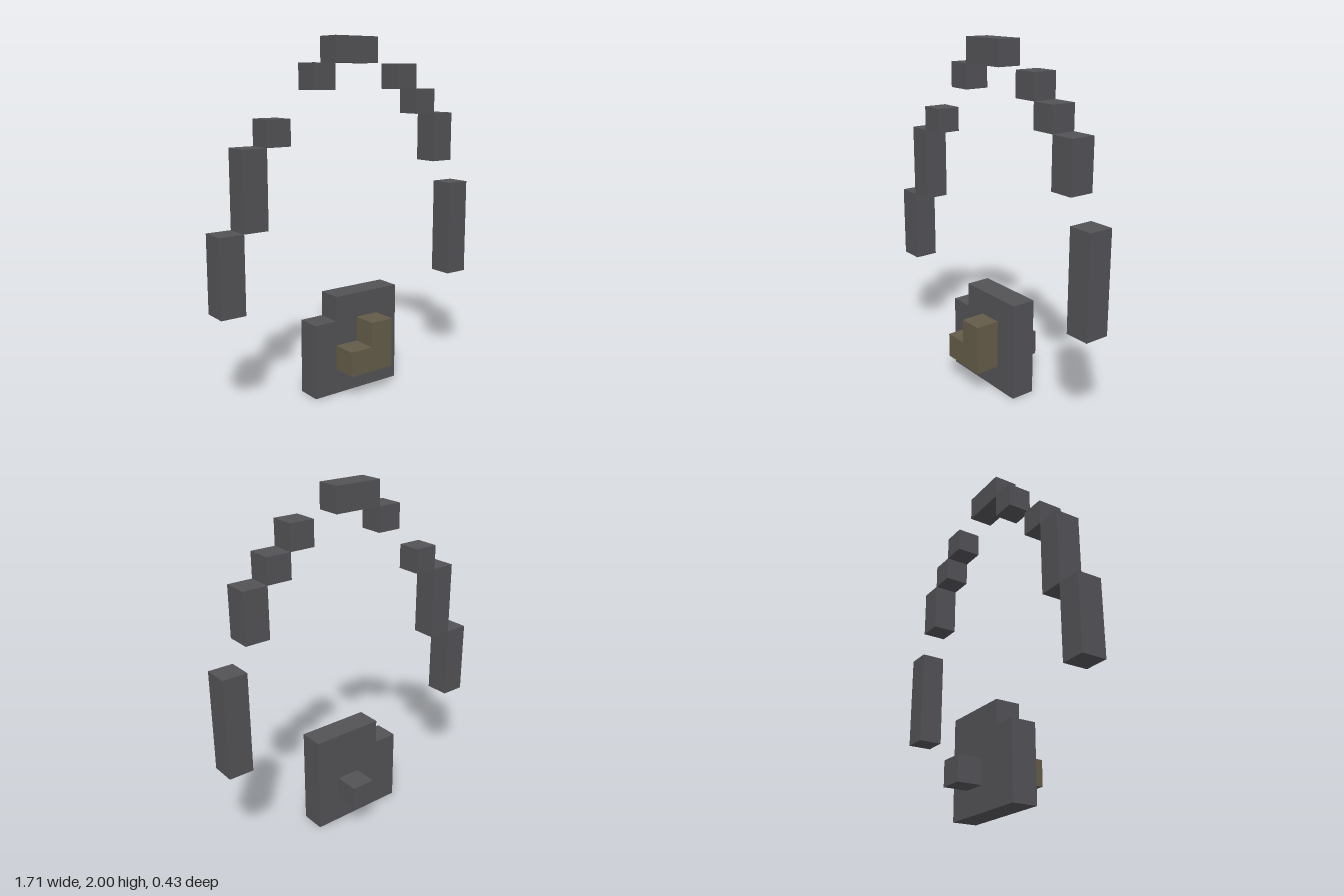
import * as THREE from 'three';

const U = 1 / 7; // one block

export function createModel() {
  const model = new THREE.Group();
  const charcoal = new THREE.MeshStandardMaterial({ name: 'charcoal', color: 0x525155 });
  const bronze = new THREE.MeshStandardMaterial({ name: 'bronze', color: 0x635b48 });

  // Box given by its left, bottom, right and top edges in blocks
  function block(name, [x0, y0, x1, y1], z = 0, parent = model) {
    const mesh = new THREE.Mesh(new THREE.BoxGeometry((x1 - x0) * U, (y1 - y0) * U, U), charcoal);
    mesh.position.set((x0 + x1) / 2 * U, (y0 + y1) / 2 * U, z * U);
    mesh.name = name;
    parent.add(mesh);
  }

  // Stepped outline extruded one block deep
  function slab(name, outline, z, material) {
    const shape = new THREE.Shape(outline.map(([x, y]) => new THREE.Vector2(x * U, y * U)));
    const mesh = new THREE.Mesh(new THREE.ExtrudeGeometry(shape, { depth: U, bevelEnabled: false }), material);
    mesh.position.z = z * U;
    mesh.name = name;
    model.add(mesh);
  }

  // Broken arch of floating blocks, from the right foot over the crown to the left foot
  const arch = new THREE.Group();
  arch.name = 'brokenArch';
  model.add(arch);
  [
    [-6, 4, -5, 7], [-5, 7, -4, 10], [-4, 10, -3, 11], [-2, 12, -1, 13],
    [-1, 13, 1, 14],
    [2, 12, 3, 13], [3, 11, 4, 12], [4, 9, 5, 11], [5, 4, 6, 8],
  ].forEach((edges, i) => block(`archBlock${i + 1}`, edges, 0, arch));

  // Base plate with a notched corner
  slab('basePlate', [[-2, 0], [2, 0], [2, 4], [-1, 4], [-1, 3], [-2, 3]], -0.5, charcoal);

  // Stepped front fitting and rear stud
  slab('frontFitting', [[-1, 1], [1, 1], [1, 3], [0, 3], [0, 2], [-1, 2]], 0.5, bronze);
  block('rearStud', [0, 1, 1, 2], -1);

  return model;
}
